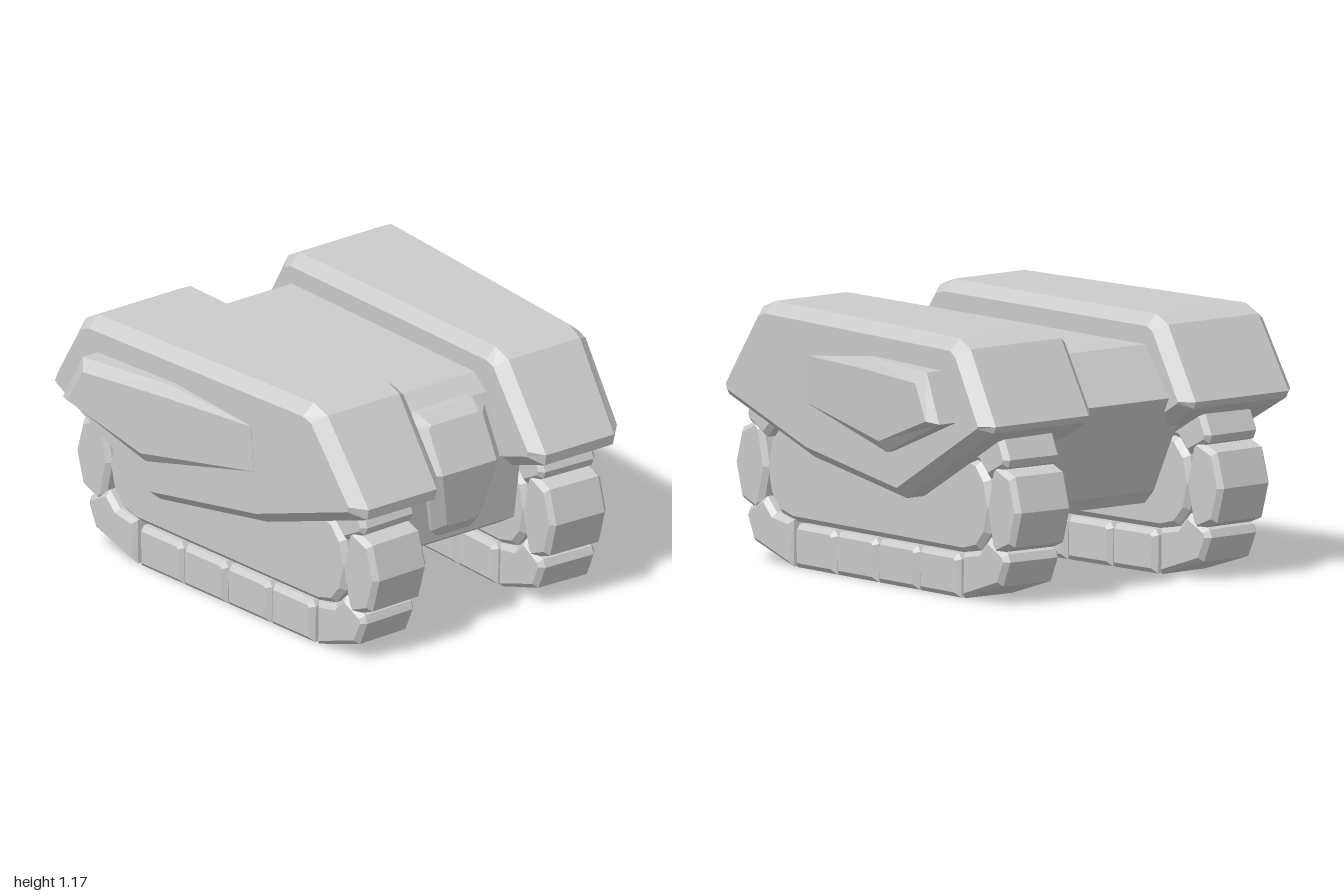
import * as THREE from 'three';

const material = new THREE.MeshStandardMaterial({ color: 0xcccccc, flatShading: true, side: THREE.DoubleSide });

function part(name, geometry) {
  const mesh = new THREE.Mesh(geometry, material);
  mesh.name = name;
  return mesh;
}

// Skin a list of equal-length rings and close both ends; faces are turned outward.
function loft(rings) {
  const n = rings[0].length;
  const pos = rings.flat();
  const tris = [];
  const quad = (a, b, c, d) => tris.push([a, b, c], [a, c, d]);
  for (let r = 0; r < rings.length - 1; r++) {
    for (let i = 0; i < n; i++) {
      const j = (i + 1) % n;
      quad(r * n + i, r * n + j, (r + 1) * n + j, (r + 1) * n + i);
    }
  }
  const last = (rings.length - 1) * n;
  for (let i = 0; i < n / 2 - 1; i++) {
    quad(n - 1 - i, n - 2 - i, i + 1, i);
    quad(last + i, last + i + 1, last + n - 2 - i, last + n - 1 - i);
  }
  const v = pos.map(p => new THREE.Vector3(...p));
  let volume = 0;
  for (const [a, b, c] of tris) volume += v[a].dot(v[b].clone().cross(v[c]));
  const index = tris.flatMap(([a, b, c]) => (volume < 0 ? [a, c, b] : [a, b, c]));
  const g = new THREE.BufferGeometry();
  g.setAttribute('position', new THREE.Float32BufferAttribute(pos.flat(), 3));
  g.setIndex(index);
  const flat = g.toNonIndexed();
  flat.computeVertexNormals();
  return flat;
}

// Side outline of [z, y] points, extruded across x and centred, with a chamfer.
function slab(points, width, bevel) {
  const shape = new THREE.Shape(points.map(([z, y]) => new THREE.Vector2(-z, y)));
  const g = new THREE.ExtrudeGeometry(shape, {
    depth: width - 2 * bevel, bevelEnabled: bevel > 0, bevelThickness: bevel,
    bevelSize: bevel, bevelOffset: -bevel, bevelSegments: 1,
  });
  g.translate(0, 0, -(width - 2 * bevel) / 2);
  g.rotateY(Math.PI / 2);
  return g;
}

// Armour pod: outline and its inset, outer wall widening to the back
const podOuter = [[0.99, 0.73], [1.0, 0.78], [0.74, 1.145], [0.65, 1.18], [-0.71, 1.18],
  [-0.79, 1.14], [-0.975, 0.82], [-0.96, 0.79], [-0.32, 0.43], [0.36, 0.53]];
const podInset = [[0.93, 0.765], [0.94, 0.79], [0.70, 1.115], [0.65, 1.13], [-0.71, 1.13],
  [-0.75, 1.11], [-0.92, 0.82], [-0.91, 0.81], [-0.32, 0.48], [0.35, 0.58]];
const wallX = z => 0.82 - 0.077 * z;

function armourPod(s) {
  const ring = (pts, x) => pts.map(([z, y]) => [s * x(z), y, z]);
  return part('armourPod', loft([
    ring(podInset, () => 0.25),
    ring(podOuter, () => 0.305),
    ring(podOuter, z => wallX(z) - 0.06),
    ring(podInset, wallX),
  ]));
}

// Raised side panel that grows out of the pod wall toward the back
const panelOuter = [[0.34, 0.77], [0.32, 0.985], [-0.16, 1.04], [-0.65, 1.035], [-0.76, 0.82], [-0.30, 0.64]];
const panelInset = [[0.33, 0.775], [0.31, 0.983], [-0.16, 0.99], [-0.61, 0.985], [-0.70, 0.83], [-0.29, 0.69]];

function sidePanel(s) {
  const face = z => 0.797 + (0.33 - z) * 0.2;
  const ring = (pts, x) => pts.map(([z, y]) => [s * x(z), y, z]);
  return part('sidePanel', loft([
    ring(panelOuter, z => wallX(z) - 0.04),
    ring(panelOuter, z => face(z) - 0.04 * Math.min(1, Math.max(0, (0.33 - z) / 0.6))),
    ring(panelInset, face),
  ]));
}

// Track: a closed loop of chamfered pads round a side plate
function track(s) {
  const group = new THREE.Group();
  group.name = 'track';
  const cy = 0.43;
  const width = 0.305;
  const addPad = pts => group.add(part('trackPad', slab(pts, width, 0.022)));
  const corner = [[0.60, 0.012], [0.87, 0.095], [0.92, 0.205], [0.905, 0.24], [0.785, 0.30], [0.72, 0.235], [0.60, 0.215]];
  const end = [[0.955, 0.275], [1.0, 0.43], [0.955, 0.585], [0.84, 0.63], [0.81, 0.60],
    [0.77, 0.43], [0.81, 0.26], [0.84, 0.23]];
  for (const fz of [1, -1]) {
    addPad(end.map(([z, y]) => [fz * z, y]));
    for (const fy of [1, -1]) addPad(corner.map(([z, y]) => [fz * z, cy + fy * (y - cy)]));
  }
  for (let i = 0; i < 4; i++) {
    const z = 0.435 - 0.29 * i;
    const pad = [[z - 0.14, 0.012], [z + 0.14, 0.012], [z + 0.143, 0.18], [z + 0.125, 0.205],
      [z - 0.125, 0.205], [z - 0.143, 0.18]];
    for (const fy of [1, -1]) addPad(pad.map(([pz, y]) => [pz, cy + fy * (y - cy)]));
  }
  const q = [[0.60, 0.21], [0.70, 0.235], [0.765, 0.31], [0.795, 0.43]];
  const lower = [...q, ...q.slice(0, 3).reverse().map(([z, y]) => [z, 2 * cy - y])];
  const plate = [...lower, ...lower.slice().reverse().map(([z, y]) => [-z, y])];
  group.add(part('trackSidePlate', slab(plate, 0.28, 0.025)));
  // tracks spread slightly toward the back
  group.position.x = s * 0.535;
  group.rotation.y = -s * 0.0385;
  return group;
}

// Faceted nose plate: half outline mirrored, front folded across the middle
function nosePlate() {
  const outer = [[0.15, 0.99], [0.20, 0.95], [0.20, 0.75], [0.13, 0.455], [0.09, 0.42]];
  const inner = [[0.13, 0.95], [0.15, 0.94], [0.15, 0.75], [0.085, 0.49], [0.07, 0.48]];
  const front = y => 0.85 - (y > 0.75 ? (y - 0.75) * 0.52 : (0.75 - y) * 0.2);
  const ring = (pts, z) => [...pts, ...pts.slice().reverse().map(([x, y]) => [-x, y])].map(([x, y]) => [x, y, z(y)]);
  return part('nosePlate', loft([
    ring(outer, y => (y > 0.9 ? 0.62 : 0.66)),
    ring(outer, y => front(y) - 0.045),
    ring(inner, front),
  ]));
}

export function createModel() {
  const model = new THREE.Group();
  model.name = 'trackedVehicle';

  // Central hull between the pods
  const hull = [[0.57, 1.05], [0.65, 0.98], [0.77, 0.72], [0.72, 0.39], [0.62, 0.33],
    [-0.58, 0.33], [-0.64, 0.39], [-0.86, 0.83], [-0.70, 1.05]];
  model.add(part('hull', slab(hull, 0.70, 0)));
  model.add(nosePlate());

  for (const s of [1, -1]) {
    const side = new THREE.Group();
    side.name = s > 0 ? 'leftSide' : 'rightSide';
    side.add(armourPod(s), sidePanel(s), track(s));
    model.add(side);
  }
  return model;
}
